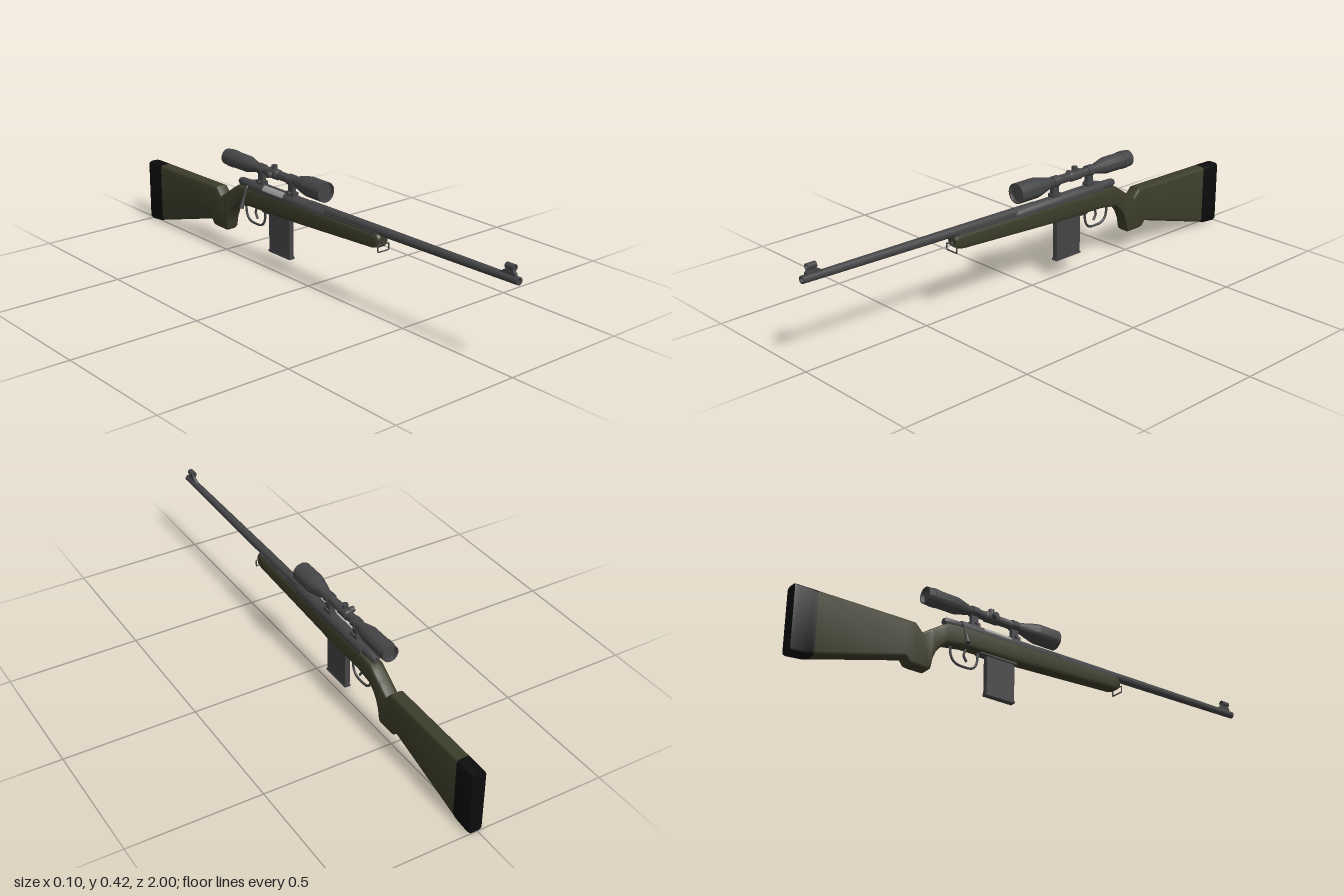
import * as THREE from 'three';
import { toCreasedNormals } from 'three/addons/utils/BufferGeometryUtils.js';

const material = (name, color) => new THREE.MeshStandardMaterial({ name, color });

// Turned part along z from [z, radius] pairs, ascending z on outer faces
function turned(profile, segments = 24) {
  const g = new THREE.LatheGeometry(profile.map(([z, r]) => new THREE.Vector2(r, z)), segments);
  return toCreasedNormals(g.rotateX(Math.PI / 2), 0.5);
}

// Rounded-rectangle cross-section, counter-clockwise seen from the front
function section(halfWidth, top, bottom, radius) {
  const r = Math.min(radius, (top - bottom) / 2 - 0.001), points = [];
  const corners = [[1, top - r], [-1, top - r], [-1, bottom + r], [1, bottom + r]];
  corners.forEach(([side, y], c) => {
    for (let k = 0; k <= 3; k++) {
      const a = (c + k / 3) * Math.PI / 2;
      points.push([side * (halfWidth - r) + r * Math.cos(a), y + r * Math.sin(a)]);
    }
  });
  return points;
}

// Skin over [z, top, bottom, halfWidth] stations, listed front to back
function loft(stations, radius) {
  const pos = [], index = [], n = 16;
  for (const [z, top, bottom, w = 0.026] of stations)
    for (const [x, y] of section(w, top, bottom, radius)) pos.push(x, y, z);
  for (let s = 0; s < stations.length - 1; s++)
    for (let k = 0; k < n; k++) {
      const a = s * n + k, b = s * n + (k + 1) % n;
      index.push(a, a + n, b, b, a + n, b + n);
    }
  const last = (stations.length - 1) * n;
  for (let k = 1; k < n - 1; k++) {
    index.push(0, k, k + 1, last, last + k + 1, last + k);
  }
  const g = new THREE.BufferGeometry();
  g.setAttribute('position', new THREE.Float32BufferAttribute(pos, 3));
  g.setIndex(index);
  return toCreasedNormals(g, 0.6);
}

function wire(points, radius, closed = false, tension = 0.5) {
  const curve = new THREE.CatmullRomCurve3(points.map(p => new THREE.Vector3(...p)), closed, 'catmullrom', tension);
  return new THREE.TubeGeometry(curve, 40, radius, 8, closed);
}

export function createModel() {
  const olive = material('olive stock', 0x3d3d2b);
  const metal = material('gunmetal', 0x454547);
  const rubber = material('black rubber', 0x0c0c0c);
  const steel = material('bright steel', 0x9a9c9a);

  const model = new THREE.Group();
  const body = new THREE.Group();
  body.name = 'body';
  body.position.x = 0.009;
  model.add(body);
  const add = (name, geometry, mat, x = 0, y = 0, z = 0) => {
    const mesh = new THREE.Mesh(geometry, mat);
    mesh.name = name;
    mesh.position.set(x, y, z);
    body.add(mesh);
    return mesh;
  };
  const box = (w, h, d) => new THREE.BoxGeometry(w, h, d);

  // Stock and butt pad
  add('stock', loft([
    [0.385, 0.298, 0.266, 0.02], [0.375, 0.306, 0.257, 0.025], [0.35, 0.306, 0.251],
    [-0.105, 0.3, 0.227], [-0.33, 0.296, 0.222], [-0.405, 0.29, 0.21], [-0.43, 0.274, 0.19],
    [-0.45, 0.26, 0.165], [-0.465, 0.25, 0.13], [-0.472, 0.246, 0.094], [-0.48, 0.24, 0.088],
    [-0.507, 0.222, 0.088], [-0.535, 0.251, 0.088], [-0.555, 0.251, 0.09],
    [-0.57, 0.251, 0.11], [-0.914, 0.247, 0.012]], 0.012), olive);
  add('buttPad', loft([
    [-0.914, 0.247, 0.012], [-0.93, 0.247, 0.006], [-0.99, 0.246, 0], [-1, 0.245, 0.002, 0.025]], 0.012), rubber);

  // Barrel with open bore, tilted slightly up to the muzzle
  const barrel = add('barrel', turned([
    [-0.1, 0.018], [0.3, 0.017], [0.75, 0.0145], [0.895, 0.0135],
    [0.9, 0.0135], [0.9, 0.008], [0.85, 0.008], [0.85, 0]]), metal, 0, 0.311, 0.1);
  barrel.rotation.x = -0.013;
  add('barrelDeck', box(0.042, 0.008, 0.36), metal, 0, 0.305, 0.19).rotation.x = -0.01;

  // Front sight: sloped ramp, post and hood
  const ramp = new THREE.Shape([[0.985, 0.325], [0.985, 0.342], [0.975, 0.351], [0.945, 0.351], [0.905, 0.325]]
    .map(([z, y]) => new THREE.Vector2(-z, y)));
  const rampGeo = new THREE.ExtrudeGeometry(ramp, { depth: 0.012, bevelEnabled: false });
  add('frontSightRamp', rampGeo.rotateY(Math.PI / 2), metal, -0.006);
  add('frontSightHood', turned([
    [0.945, 0.008], [0.945, 0.011], [0.98, 0.011], [0.98, 0.008], [0.945, 0.008]], 16), metal, 0, 0.361);
  add('frontSightPost', box(0.003, 0.014, 0.008), metal, 0, 0.357, 0.962);

  // Receiver, bolt shroud and ejection port
  add('receiver', turned([
    [-0.34, 0], [-0.34, 0.023], [-0.33, 0.025], [0.09, 0.025], [0.11, 0.018]]), metal, 0, 0.3);
  add('boltShroud', turned([
    [-0.41, 0], [-0.41, 0.011], [-0.4, 0.0155], [-0.36, 0.0165], [-0.33, 0.0165]]), metal, 0, 0.303);
  const port = new THREE.CylinderGeometry(0.0258, 0.0258, 0.12, 10, 1, true, Math.PI * 1.12, Math.PI * 0.3);
  add('ejectionPort', port.rotateX(Math.PI / 2), steel, 0, 0.3, -0.19);

  // Bolt handle on the model's right
  add('boltHandle', wire([
    [-0.012, 0.304, -0.34], [-0.026, 0.296, -0.34], [-0.034, 0.275, -0.34], [-0.043, 0.25, -0.34]], 0.005), metal);
  const knob = add('boltKnob', new THREE.CylinderGeometry(0.0055, 0.009, 0.038, 16), metal, -0.0475, 0.238, -0.34);
  knob.rotation.z = -0.3;

  // Magazine with a raised rim round each side panel
  add('magazine', box(0.02, 0.155, 0.12), metal, 0, 0.15, -0.167);
  add('magazineFloor', box(0.023, 0.008, 0.125), metal, 0, 0.074, -0.167);
  add('magazineWell', box(0.034, 0.01, 0.16), metal, 0, 0.224, -0.18);

  // Trigger and guard
  add('triggerGuard', wire([
    [0, 0.225, -0.26], [0, 0.18, -0.266], [0, 0.157, -0.285], [0, 0.153, -0.32],
    [0, 0.158, -0.355], [0, 0.18, -0.374], [0, 0.22, -0.38]], 0.0045), metal);
  add('trigger', wire([[0, 0.225, -0.312], [0, 0.197, -0.32], [0, 0.175, -0.308]], 0.0045), metal);

  // Front sling loop
  add('slingLoop', wire([
    [-0.025, 0.27, 0.387], [0.025, 0.27, 0.387], [0.025, 0.246, 0.387], [-0.025, 0.246, 0.387]],
    0.0025, true, 0.05), metal);
  add('slingStud', turned([[0.37, 0.006], [0.392, 0.006], [0.392, 0]], 12), metal, 0, 0.275);

  // Telescopic sight with recessed glass at both ends
  const scopeY = 0.379;
  add('scope', turned([
    [-0.475, 0], [-0.475, 0.026], [-0.49, 0.028], [-0.49, 0.031], [-0.47, 0.032], [-0.36, 0.031],
    [-0.3, 0.0165], [-0.09, 0.0165], [-0.015, 0.035], [0, 0.0375], [0.087, 0.0375],
    [0.087, 0.034], [0.075, 0.033], [0.075, 0]], 32), metal, 0, scopeY);
  add('scopeFocusRing', turned([
    [-0.465, 0.03], [-0.465, 0.0335], [-0.445, 0.0335], [-0.445, 0.03]], 32), metal, 0, scopeY);
  add('turretBlock', turned([
    [-0.235, 0.0165], [-0.23, 0.02], [-0.18, 0.02], [-0.175, 0.0165]]), metal, 0, scopeY);
  const turret = new THREE.CylinderGeometry(0.011, 0.011, 0.02, 16);
  add('topTurret', turret, metal, 0, scopeY + 0.023, -0.205);
  add('sideTurret', turret, metal, -0.025, scopeY, -0.205).rotation.z = Math.PI / 2;

  // Scope mounts: foot, clamp ring and cross screw
  for (const z of [-0.103, -0.28]) {
    add('mountFoot', box(0.026, 0.014, 0.04), metal, 0, 0.328, z);
    add('mountPost', box(0.016, 0.04, 0.028), metal, 0, 0.347, z);
    add('mountRing', turned([[-0.014, 0.016], [-0.014, 0.0205], [0.014, 0.0205], [0.014, 0.016]]), metal, 0, scopeY, z);
    const screw = new THREE.CylinderGeometry(0.006, 0.006, 0.036, 12);
    add('mountScrew', screw, metal, -0.003, 0.33, z).rotation.z = Math.PI / 2;
  }
  return model;
}
